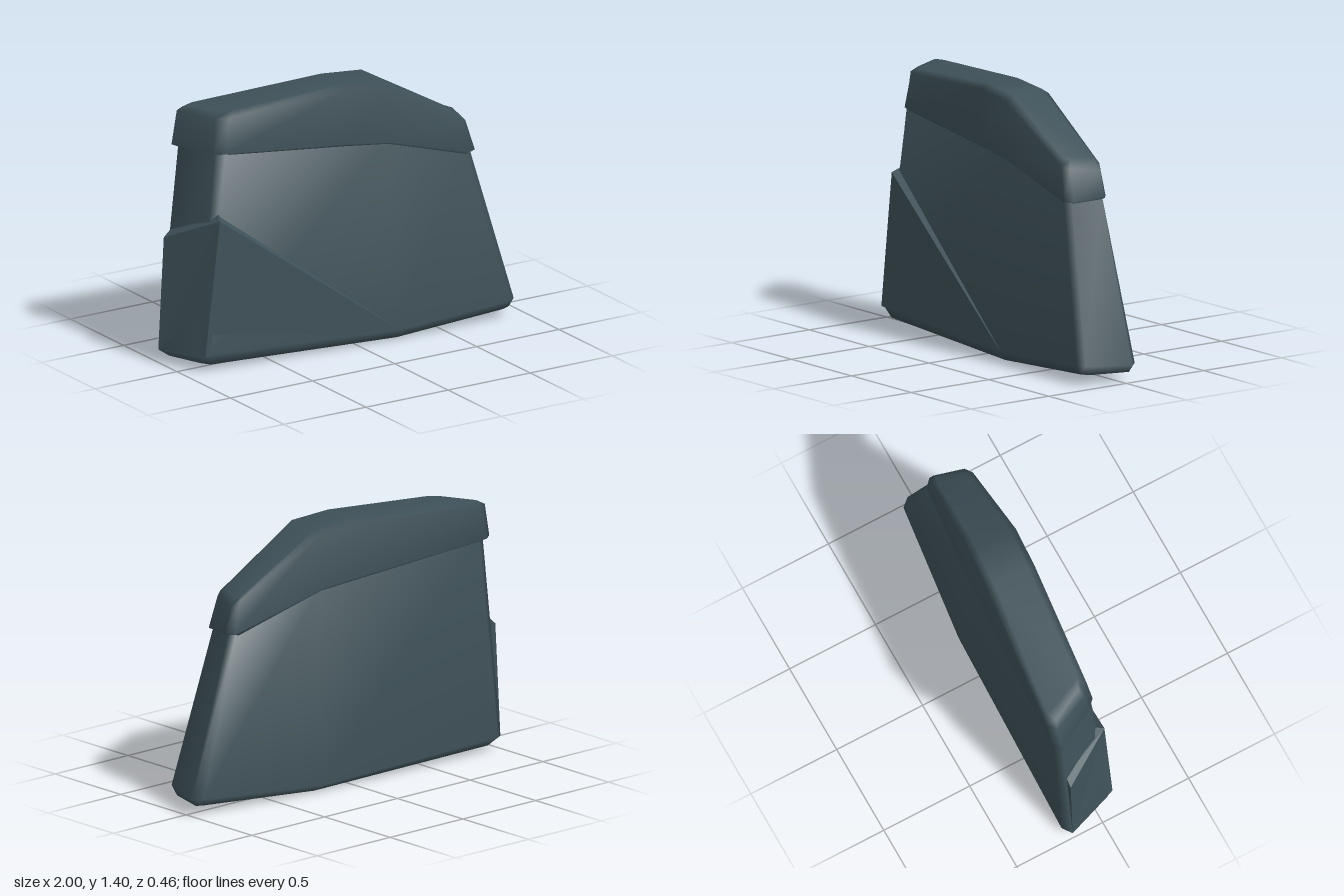
import * as THREE from 'three';

// Skins a stack of rings (each counter-clockwise seen from above) and closes both ends
function loft(rings) {
  const n = rings[0].length, index = [];
  const quad = (a, b, c, d) => index.push(a, b, c, a, c, d);
  for (let r = 0; r < rings.length - 1; r++) {
    for (let i = 0; i < n; i++) {
      const j = (i + 1) % n, lo = r * n, hi = lo + n;
      quad(lo + i, lo + j, hi + j, hi + i);
    }
  }
  const top = (rings.length - 1) * n;
  for (let i = 0; i < n / 2 - 1; i++) {
    quad(top + i, top + i + 1, top + n - 2 - i, top + n - 1 - i);
    quad(n - 1 - i, n - 2 - i, i + 1, i);
  }
  const g = new THREE.BufferGeometry();
  g.setAttribute('position', new THREE.Float32BufferAttribute(rings.flat(2), 3));
  g.setIndex(index);
  g.computeVertexNormals();
  return g;
}

// Flat-faced triangles from named corners
function facets(triangles) {
  const g = new THREE.BufferGeometry();
  g.setAttribute('position', new THREE.Float32BufferAttribute(triangles.flat(2), 3));
  g.computeVertexNormals();
  return g;
}

export function createModel() {
  const group = new THREE.Group();
  group.name = 'plate';
  const slate = new THREE.MeshStandardMaterial({ color: 0x3e5158 });
  slate.name = 'dark slate';
  const add = (name, geometry) => {
    const mesh = new THREE.Mesh(geometry, slate);
    mesh.name = name;
    group.add(mesh);
  };

  // Slab: front edge left to right, then back edge right to left
  const slabBase = [
    [-0.89, 0.04, 0.05], [-0.85, 0.035, 0.085], [0.22, 0.012, 0.18], [0.86, 0.05, 0.195], [0.91, 0.05, 0.17],
    [0.97, 0.05, -0.04], [0.93, 0.05, -0.06], [0.22, 0, -0.11], [-0.91, 0.035, -0.18], [-0.95, 0.035, -0.15],
  ];
  const slabEdge = [
    [-0.915, 0.085, 0.075], [-0.87, 0.1, 0.12], [0.22, 0.06, 0.21], [0.88, 0.1, 0.227], [0.92, 0.1, 0.2],
    [1, 0.09, -0.04], [0.96, 0.09, -0.085], [0.22, 0.04, -0.17], [-0.95, 0.075, -0.212], [-1, 0.07, -0.175],
  ];
  const slabTop = [
    [-0.79, 1.16, 0.03], [-0.745, 1.16, 0.065], [0.18, 1.08, 0.145], [0.66, 0.93, 0.142], [0.7, 0.93, 0.12],
    [0.745, 0.93, -0.04], [0.71, 0.93, -0.065], [0.2, 1.1, -0.14], [-0.83, 1.17, -0.2], [-0.88, 1.17, -0.17],
  ];
  add('slab', loft([slabBase, slabEdge, slabTop]));

  // Cap: overhanging lip, slanted sides, bevelled top
  const lip = [
    [-0.8, 1.14, 0.03], [-0.75, 1.15, 0.078], [-0.05, 1.09, 0.145], [0.2, 1.06, 0.163],
    [0.68, 0.915, 0.155], [0.73, 0.915, 0.128], [0.77, 0.925, -0.04], [0.73, 0.925, -0.075],
    [0.2, 1.08, -0.155], [-0.05, 1.1, -0.175], [-0.86, 1.155, -0.228], [-0.91, 1.155, -0.19],
  ];
  const shoulder = [
    [-0.78, 1.325, 0.015], [-0.72, 1.33, 0.06], [-0.05, 1.375, 0.125], [0.18, 1.35, 0.142],
    [0.64, 1.09, 0.142], [0.68, 1.08, 0.115], [0.73, 1.06, -0.04], [0.69, 1.09, -0.065],
    [0.19, 1.36, -0.125], [-0.05, 1.375, -0.15], [-0.82, 1.33, -0.23], [-0.875, 1.33, -0.195],
  ];
  const crown = [
    [-0.74, 1.355, 0], [-0.68, 1.36, 0.03], [-0.05, 1.4, 0.085], [0.18, 1.385, 0.105],
    [0.6, 1.135, 0.11], [0.65, 1.115, 0.09], [0.7, 1.1, -0.04], [0.66, 1.115, -0.05],
    [0.18, 1.385, -0.09], [-0.05, 1.4, -0.11], [-0.78, 1.355, -0.2], [-0.83, 1.355, -0.18],
  ];
  const underLip = lip.map(([x, y, z]) => [x * 0.96, y - 0.015, z * 0.88 - 0.002]);
  add('cap', loft([underLip, lip, shoulder, crown]));

  // Raised corner panel: ledge is proudest at the corner and fades into the slab
  const corner = [-0.79, 0.835, 0.06], cornerOut = [-0.812, 0.805, 0.113];
  const back = [-0.92, 0.715, -0.17], backOut = [-0.97, 0.67, -0.17];
  const tip = [0.22, 0.062, 0.211];
  const foot = [-0.9, 0.09, 0.112], heel = [-1, 0.07, -0.175];
  add('cornerPanel', facets([
    [foot, tip, cornerOut],
    [corner, cornerOut, tip],
    [heel, foot, cornerOut], [heel, cornerOut, backOut],
    [back, backOut, cornerOut], [back, cornerOut, corner],
    [heel, backOut, back],
  ]));
  return group;
}
